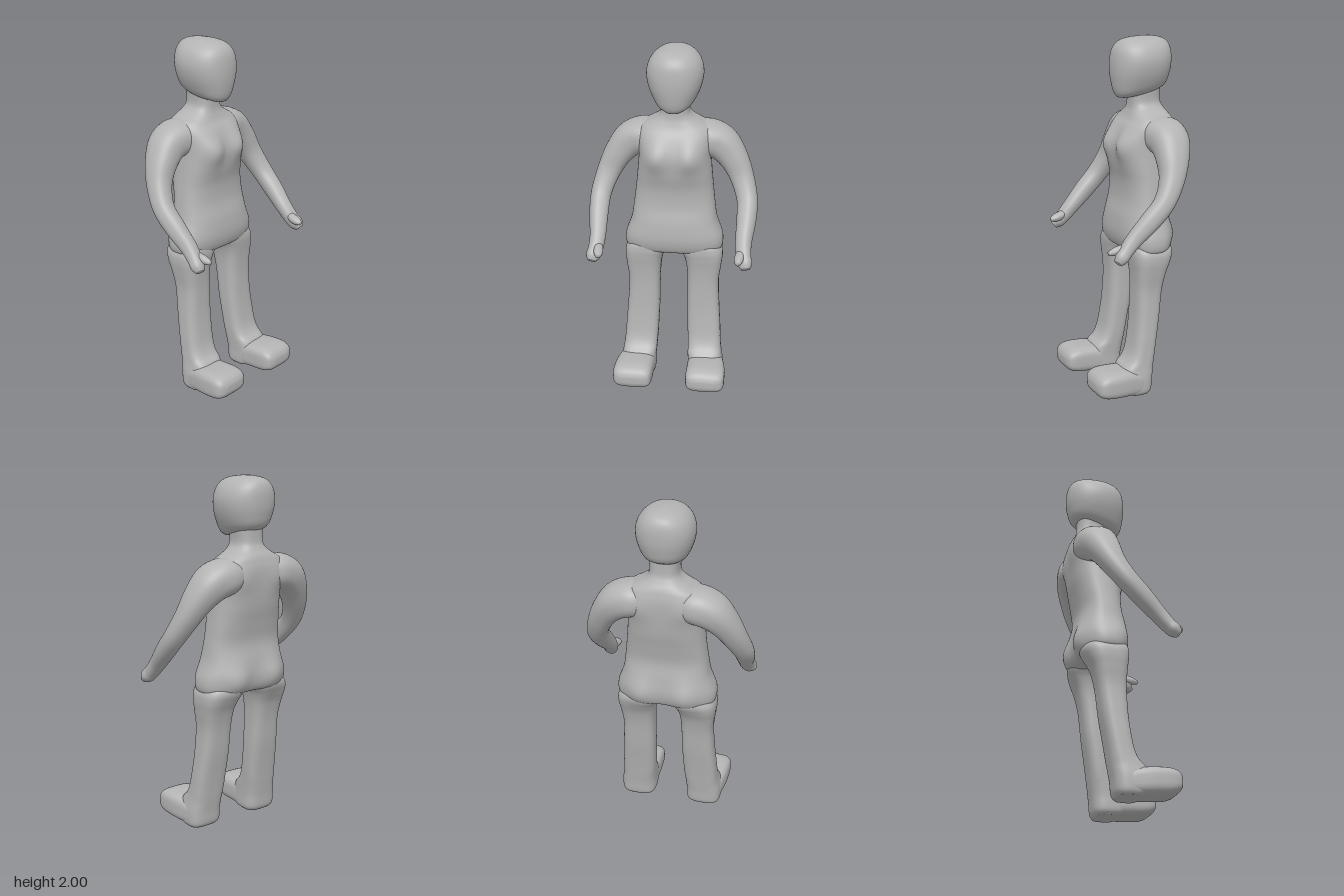
import * as THREE from 'three';

const V = (x, y, z) => new THREE.Vector3(x, y, z);

// Smoothly interpolate every column of a list of rows
function refine(rows, steps) {
  const out = [], last = rows.length - 1;
  for (let i = 0; i < last; i++) {
    const p = [rows[Math.max(i - 1, 0)], rows[i], rows[i + 1], rows[Math.min(i + 2, last)]];
    for (let s = 0; s < steps; s++) {
      const t = s / steps;
      out.push(p[1].map((b, k) => {
        const a = p[0][k], c = p[2][k], d = p[3][k];
        return b + 0.5 * t * (c - a + t * (2 * a - 5 * b + 4 * c - d + t * (3 * (b - c) + d - a)));
      }));
    }
  }
  out.push(rows[last]);
  return out;
}

// Skin a list of superellipse rings { c, u, v } into a closed smooth body
function skin(rings, power, mirror = 1, n = 60) {
  const pos = [], idx = [], m = rings.length;
  const bend = (w) => Math.sign(w) * Math.pow(Math.abs(w), 2 / power);
  const add = (p) => pos.push(p.x * mirror, p.y, p.z);
  for (const { c, u, v } of rings) {
    for (let j = 0; j < n; j++) {
      const a = (j / n) * Math.PI * 2;
      add(c.clone().addScaledVector(u, bend(Math.cos(a))).addScaledVector(v, bend(Math.sin(a))));
    }
  }
  add(rings[0].c);
  add(rings[m - 1].c);
  for (let j = 0; j < n; j++) {
    const k = (j + 1) % n;
    for (let i = 0; i < m - 1; i++) {
      const a = i * n + j, b = i * n + k;
      idx.push(a, b, a + n, b, b + n, a + n);
    }
    idx.push(m * n, k, j, m * n + 1, (m - 1) * n + j, (m - 1) * n + k);
  }
  // Turn the faces outward if the enclosed volume is negative
  let volume = 0;
  const at = (i) => V(pos[i * 3], pos[i * 3 + 1], pos[i * 3 + 2]);
  for (let i = 0; i < idx.length; i += 3) volume += at(idx[i]).dot(at(idx[i + 1]).cross(at(idx[i + 2])));
  if (volume < 0) idx.reverse();
  const g = new THREE.BufferGeometry();
  g.setAttribute('position', new THREE.Float32BufferAttribute(pos, 3));
  g.setIndex(idx);
  g.computeVertexNormals();
  return g;
}

// Rows are [y, xMin, xMax, zMin, zMax]
const upright = (rows, power, mirror) => skin(refine(rows, 6).map(([y, x0, x1, z0, z1]) => ({
  c: V((x0 + x1) / 2, y, (z0 + z1) / 2), u: V((x1 - x0) / 2, 0, 0), v: V(0, 0, (z1 - z0) / 2),
})), power, mirror);

// Rows are [z, xMin, xMax, yMin, yMax]
const forward = (rows, power, mirror) => skin(refine(rows, 4).map(([z, x0, x1, y0, y1]) => ({
  c: V((x0 + x1) / 2, (y0 + y1) / 2, z), u: V((x1 - x0) / 2, 0, 0), v: V(0, (y1 - y0) / 2, 0),
})), power, mirror);

// Rows are [x, y, z, width, depth] along a limb
function limb(rows, power, mirror) {
  const r = refine(rows, 5);
  return skin(r.map(([x, y, z, w, d], i) => {
    const a = r[Math.max(i - 1, 0)], b = r[Math.min(i + 1, r.length - 1)];
    const t = V(b[0] - a[0], b[1] - a[1], b[2] - a[2]).normalize();
    const u = V(1, 0.5, 0);
    u.addScaledVector(t, -u.dot(t)).normalize();
    return { c: V(x, y, z), u: u.clone().multiplyScalar(w), v: t.cross(u).multiplyScalar(d) };
  }), power, mirror);
}

// Soft swellings shared by torso and legs: [x, y, spreadX, spreadY, push in z]
const SWELLINGS = [
  [0.095, 1.41, 0.075, 0.085, 0.042],  // chest
  [0.125, 0.89, 0.085, 0.095, -0.038], // seat
  [0.15, 1.45, 0.09, 0.075, -0.018],   // shoulder blades
];
function sculpt(g) {
  const p = g.attributes.position;
  for (let i = 0; i < p.count; i++) {
    const x = Math.abs(p.getX(i)), y = p.getY(i), z = p.getZ(i);
    let push = 0;
    for (const [cx, cy, sx, sy, amount] of SWELLINGS) {
      const reach = THREE.MathUtils.smoothstep((z + 0.1) * Math.sign(amount), 0, 0.09);
      push += amount * reach * Math.exp(-(((x - cx) / sx) ** 2) - ((y - cy) / sy) ** 2);
    }
    p.setZ(i, z + push);
  }
  g.computeVertexNormals();
  return g;
}

export function createModel() {
  const model = new THREE.Group();
  const clay = new THREE.MeshStandardMaterial({ color: 0xb4b4b4 });
  clay.name = 'clay grey';
  const put = (name, geometry) => {
    const mesh = new THREE.Mesh(geometry, clay);
    mesh.name = name;
    model.add(mesh);
    return mesh;
  };
  const sym = ([y, w, z0, z1]) => [y, -w, w, z0, z1];

  // Hips, waist, chest, shoulders and neck
  put('torso', sculpt(upright([
    [0.805, 0.23, -0.17, 0.0], [0.83, 0.277, -0.212, 0.033], [0.9, 0.281, -0.228, 0.05],
    [1.0, 0.247, -0.228, 0.042], [1.1, 0.232, -0.218, 0.02], [1.2, 0.22, -0.235, 0.018],
    [1.3, 0.21, -0.258, 0.035], [1.4, 0.203, -0.27, 0.032], [1.5, 0.21, -0.275, 0.005],
    [1.55, 0.195, -0.268, -0.025], [1.58, 0.145, -0.258, -0.038], [1.61, 0.1, -0.24, -0.047],
    [1.65, 0.08, -0.225, -0.05], [1.74, 0.085, -0.225, -0.05],
  ].map(sym), 2.7)));

  // Egg-shaped head with a flat face and a low chin
  put('head', upright([
    [1.668, 0.04, -0.05, 0.02], [1.69, 0.085, -0.16, 0.035], [1.73, 0.118, -0.25, 0.046],
    [1.8, 0.147, -0.279, 0.054], [1.87, 0.156, -0.288, 0.052], [1.93, 0.14, -0.285, 0.04],
    [1.97, 0.106, -0.268, 0.01], [1.99, 0.066, -0.235, -0.04], [2.0, 0.015, -0.18, -0.12],
  ].map(sym), 2.25));

  for (const [side, s] of [['left', 1], ['right', -1]]) {
    // Straight boxy leg, its top tucked inside the hips
    put(side + 'Leg', sculpt(upright([
      [0.004, 0.12, 0.29, -0.045, 0.08], [0.03, 0.1, 0.305, -0.062, 0.12],
      [0.1, 0.098, 0.305, -0.07, 0.13], [0.16, 0.095, 0.295, -0.079, 0.11],
      [0.2, 0.093, 0.29, -0.085, 0.072], [0.25, 0.09, 0.286, -0.092, 0.048],
      [0.33, 0.087, 0.281, -0.105, 0.032], [0.45, 0.083, 0.272, -0.125, 0.018],
      [0.6, 0.082, 0.265, -0.145, 0.012], [0.7, 0.076, 0.276, -0.168, 0.016],
      [0.77, 0.06, 0.284, -0.194, 0.024], [0.82, 0.035, 0.279, -0.205, 0.028],
      [0.86, 0.05, 0.25, -0.19, 0.02], [0.9, 0.08, 0.2, -0.15, -0.02],
    ], 3.2, s)));

    // Chunky rounded foot
    put(side + 'Foot', forward([
      [-0.04, 0.14, 0.27, 0.02, 0.1], [-0.02, 0.11, 0.298, 0.005, 0.13],
      [0.06, 0.1, 0.314, 0.004, 0.157], [0.13, 0.1, 0.325, 0.008, 0.166],
      [0.21, 0.1, 0.329, 0.014, 0.168], [0.255, 0.104, 0.325, 0.026, 0.158],
      [0.28, 0.118, 0.308, 0.045, 0.138], [0.292, 0.155, 0.27, 0.07, 0.112],
    ], 3.5, s));

    // Arm bent forward at the elbow, closing into a fist
    put(side + 'Arm', limb([
      [0.04, 1.49, -0.165, 0.05, 0.07], [0.15, 1.475, -0.165, 0.097, 0.118],
      [0.25, 1.445, -0.165, 0.1, 0.11], [0.325, 1.365, -0.145, 0.082, 0.09],
      [0.38, 1.26, -0.11, 0.067, 0.068], [0.416, 1.15, -0.045, 0.058, 0.057],
      [0.418, 1.06, 0.04, 0.053, 0.055], [0.41, 0.97, 0.13, 0.045, 0.045],
      [0.415, 0.91, 0.185, 0.042, 0.038], [0.425, 0.88, 0.215, 0.04, 0.036],
      [0.43, 0.858, 0.236, 0.024, 0.022],
    ], 2.3, s));

    // Thumb lying along the inner top of the fist
    put(side + 'Thumb', limb([
      [0.4, 0.945, 0.16, 0.012, 0.012], [0.395, 0.925, 0.2, 0.025, 0.022],
      [0.39, 0.913, 0.24, 0.025, 0.021], [0.388, 0.906, 0.272, 0.012, 0.011],
    ], 2.3, s));
  }
  return model;
}
